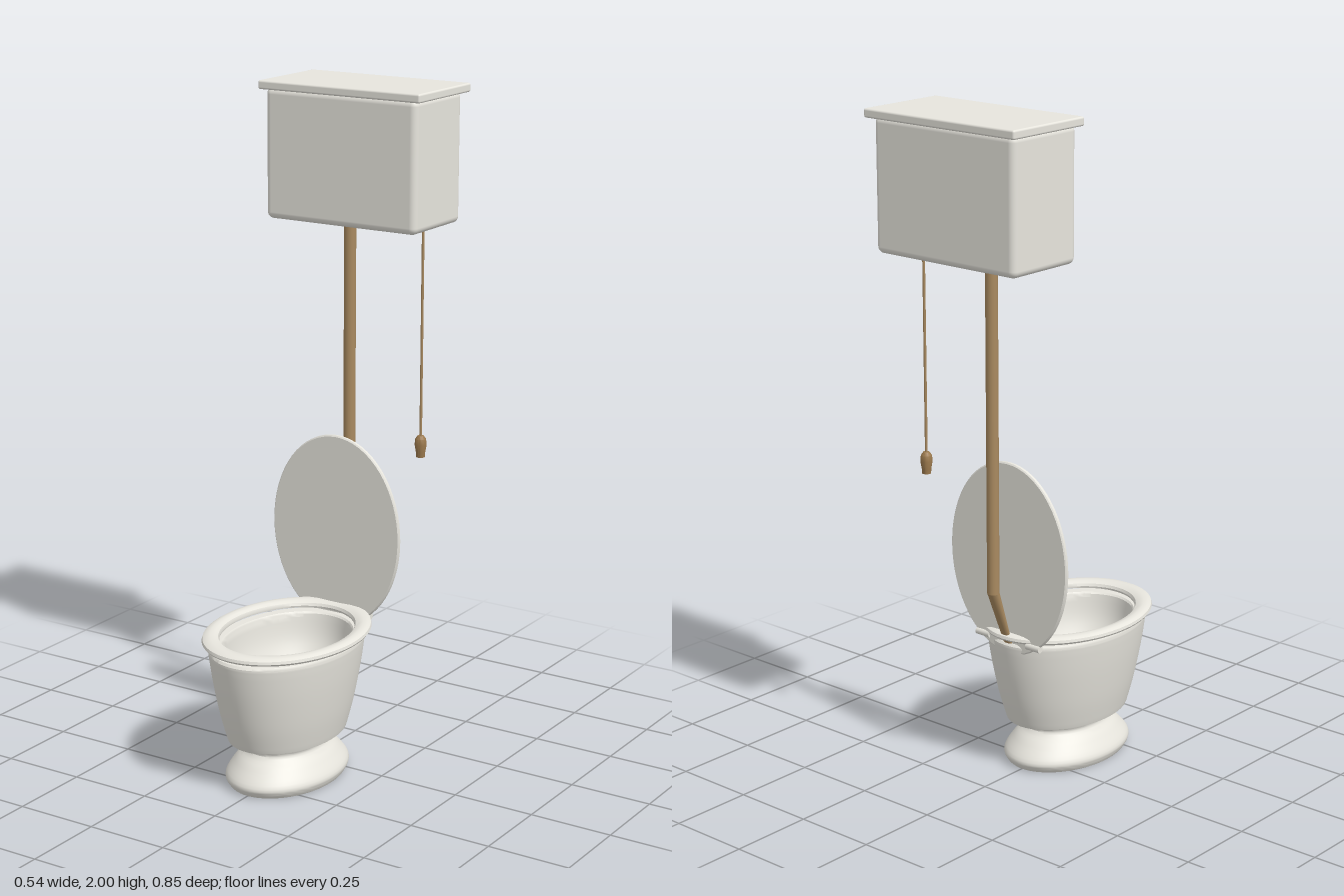
import * as THREE from 'three';
import { toCreasedNormals } from 'three/addons/utils/BufferGeometryUtils.js';
import { RoundedBoxGeometry } from 'three/addons/geometries/RoundedBoxGeometry.js';

const OVAL = 1.4;        // length of the oval parts relative to their width
const BOWL_Z = 0.126;    // centre of the bowl

// Oval solid turned from [radius, height] pairs, stretched along z
function ovalLathe(profile, stretch = OVAL, segments = 64) {
  const points = profile.map(([r, y]) => new THREE.Vector2(r, y));
  const geometry = new THREE.LatheGeometry(points, segments);
  geometry.scale(1, 1, stretch);
  return toCreasedNormals(geometry, 0.6);
}

// Smooth run of profile points through a few control points
function smooth(profile, count) {
  const curve = new THREE.SplineCurve(profile.map(([r, y]) => new THREE.Vector2(r, y)));
  return curve.getPoints(count).map((p) => [p.x, p.y]);
}

export function createModel() {
  const model = new THREE.Group();
  model.name = 'highTankToilet';

  const porcelain = new THREE.MeshStandardMaterial({ color: 0xeeece4 });
  porcelain.name = 'porcelain';
  const brass = new THREE.MeshStandardMaterial({ color: 0xa98a60 });
  brass.name = 'brass';
  const wood = new THREE.MeshStandardMaterial({ color: 0x9c7a4e });
  wood.name = 'wood';

  function add(name, geometry, material, x = 0, y = 0, z = 0) {
    const mesh = new THREE.Mesh(geometry, material);
    mesh.name = name;
    mesh.position.set(x, y, z);
    model.add(mesh);
    return mesh;
  }

  // Flared foot with a narrow waist
  add('foot', ovalLathe([
    [0, 0], [0.15, 0],
    ...smooth([[0.153, 0.004], [0.16, 0.03], [0.132, 0.075], [0.108, 0.108], [0.128, 0.138], [0.14, 0.15]], 24),
  ]), porcelain, 0, 0, BOWL_Z);

  // Bowl: underside, outer wall, rim, then the hollow down to the drain
  add('bowl', ovalLathe([
    [0.09, 0.139], [0.154, 0.139],
    ...smooth([[0.155, 0.142], [0.173, 0.22], [0.19, 0.32], [0.2, 0.4], [0.201, 0.418]], 16),
    [0.197, 0.425], [0.171, 0.425],
    ...smooth([[0.167, 0.42], [0.15, 0.33], [0.1, 0.235], [0.029, 0.195]], 18),
    [0, 0.195],
  ]), porcelain, 0, 0, BOWL_Z);

  // Seat ring with a softly rounded top
  add('seat', ovalLathe([
    [0.179, 0.437], [0.22, 0.437], [0.224, 0.443], [0.222, 0.451], [0.214, 0.456],
    [0.202, 0.458], [0.19, 0.456], [0.181, 0.451], [0.178, 0.443], [0.179, 0.437],
  ], 1.32), porcelain, 0, 0, BOWL_Z);

  // Raised lid
  const lid = ovalLathe([
    [0, -0.007], [0.217, -0.007], [0.22, -0.004], [0.22, 0.004], [0.217, 0.007], [0, 0.007],
  ], 1.33);
  lid.rotateX(Math.PI / 2);
  add('lid', lid, porcelain, 0, 0.682, -0.138);

  // Hinge barrels
  for (const side of [-1, 1]) {
    const barrel = new THREE.CylinderGeometry(0.011, 0.011, 0.05, 16);
    barrel.rotateZ(Math.PI / 2);
    add(side > 0 ? 'leftHinge' : 'rightHinge', barrel, porcelain, side * 0.096, 0.431, -0.141);
  }

  // Tank and its cover
  add('tank', new RoundedBoxGeometry(0.51, 0.385, 0.26, 4, 0.02), porcelain, 0, 1.788, -0.275);
  add('tankCover', new RoundedBoxGeometry(0.544, 0.026, 0.29, 3, 0.006), porcelain, 0, 1.987, -0.279);

  // Flush pipe: straight drop, then a tapering run forward to the bowl
  add('flushPipe', new THREE.CylinderGeometry(0.018, 0.018, 1.01, 16), brass, 0, 1.1, -0.208);
  const elbow = new THREE.CylinderGeometry(0.018, 0.018, 0.18, 16, 1);
  const p = elbow.attributes.position;
  for (let i = 0; i < p.count; i++) {
    if (p.getY(i) < 0) p.setXYZ(i, p.getX(i) * 0.85, p.getY(i), p.getZ(i) * 0.3 + 0.066);
  }
  elbow.computeVertexNormals();
  add('flushElbow', elbow, brass, 0, 0.507, -0.208);

  // Pull chain and handle
  add('chain', new THREE.CylinderGeometry(0.004, 0.004, 0.64, 8), brass, 0.227, 1.29, -0.24);
  add('pullHandle', ovalLathe([
    [0, 0.92], [0.013, 0.92], [0.014, 0.935], [0.018, 0.958], [0.016, 0.975], [0.009, 0.985], [0, 0.985],
  ], 1, 16), wood, 0.227, 0, -0.24);

  return model;
}
